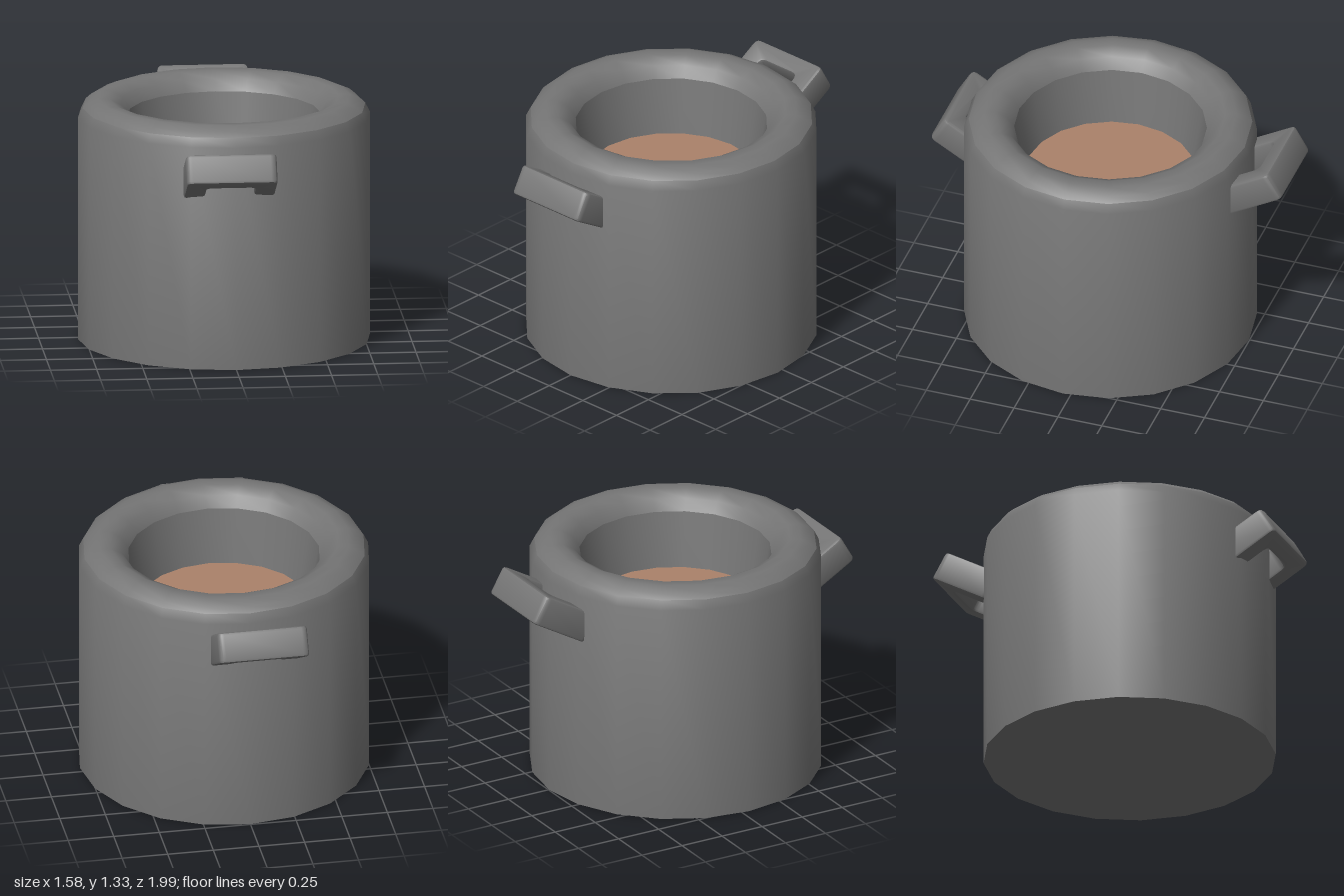
import * as THREE from 'three';
import { toCreasedNormals } from 'three/addons/utils/BufferGeometryUtils.js';

const SIDES = 20;
const POT_Z = 0.043;

// Closed outline with every corner rounded by r
function roundedOutline(corners, r) {
  const pts = corners.map(([x, y]) => new THREE.Vector2(x, y));
  const toward = (a, b) => b.clone().sub(a).setLength(r).add(a);
  const shape = new THREE.Shape();
  pts.forEach((p, i) => {
    const start = toward(p, pts.at(i - 1));
    const end = toward(p, pts[(i + 1) % pts.length]);
    if (i === 0) shape.moveTo(start.x, start.y);
    else shape.lineTo(start.x, start.y);
    shape.quadraticCurveTo(p.x, p.y, end.x, end.y);
  });
  shape.closePath();
  return shape;
}

// U-shaped grip: a crossbar with two legs that run into the pot wall
function handleGeometry() {
  const w = 0.246, inner = 0.13, len = 0.37, bar = 0.1, depth = 0.165, bevel = 0.015;
  const shape = roundedOutline([
    [-w, -len], [-inner, -len], [-inner, -bar], [inner, -bar],
    [inner, -len], [w, -len], [w, 0], [-w, 0],
  ], 0.035);
  const geo = new THREE.ExtrudeGeometry(shape, {
    depth: depth - 2 * bevel, bevelThickness: bevel, bevelSize: bevel,
    bevelOffset: -bevel, bevelSegments: 2, curveSegments: 4,
  });
  geo.translate(0, 0, -depth / 2 + bevel);
  return toCreasedNormals(geo, 0.6);
}

export function createModel() {
  const model = new THREE.Group();
  model.name = 'cookingPot';
  const darkMetal = new THREE.MeshStandardMaterial({ color: 0x757575 });
  const brown = new THREE.MeshStandardMaterial({ color: 0xab826a });

  // Pot: base with outer wall, thick rolled rim, tapering inner wall
  const potParts = {
    outerWall: [[0, 0], [0.79, 0], [0.79, 1.23], [0.765, 1.28]],
    rim: [[0.765, 1.28], [0.735, 1.306], [0.68, 1.33], [0.62, 1.328], [0.56, 1.295], [0.52, 1.235]],
    innerWall: [[0.52, 1.235], [0.465, 0.93], [0.455, 0.87]],
  };
  for (const [name, points] of Object.entries(potParts)) {
    const profile = points.map(([r, y]) => new THREE.Vector2(r, y));
    const part = new THREE.Mesh(
      toCreasedNormals(new THREE.LatheGeometry(profile, SIDES), 0.8), darkMetal);
    part.name = name;
    part.position.z = POT_Z;
    model.add(part);
  }

  // Liquid surface inside the pot
  const soup = new THREE.Mesh(new THREE.CircleGeometry(0.467, SIDES), brown);
  soup.name = 'soup';
  soup.rotation.x = -Math.PI / 2;
  soup.position.set(0, 0.93, POT_Z);
  model.add(soup);

  // Handles tilt up and outward; the front one sits lower and deeper
  const grip = handleGeometry();
  for (const [name, turn, y, z] of [
    ['frontHandle', 0, 1.147, 0.963],
    ['backHandle', Math.PI, 1.213, 0.961],
  ]) {
    const handle = new THREE.Group();
    handle.name = name;
    handle.rotation.y = turn;
    handle.position.x = -0.035;
    const mesh = new THREE.Mesh(grip, darkMetal);
    mesh.name = name + 'Grip';
    mesh.rotation.x = Math.PI / 3;
    mesh.position.set(0, y, z);
    handle.add(mesh);
    model.add(handle);
  }
  return model;
}
